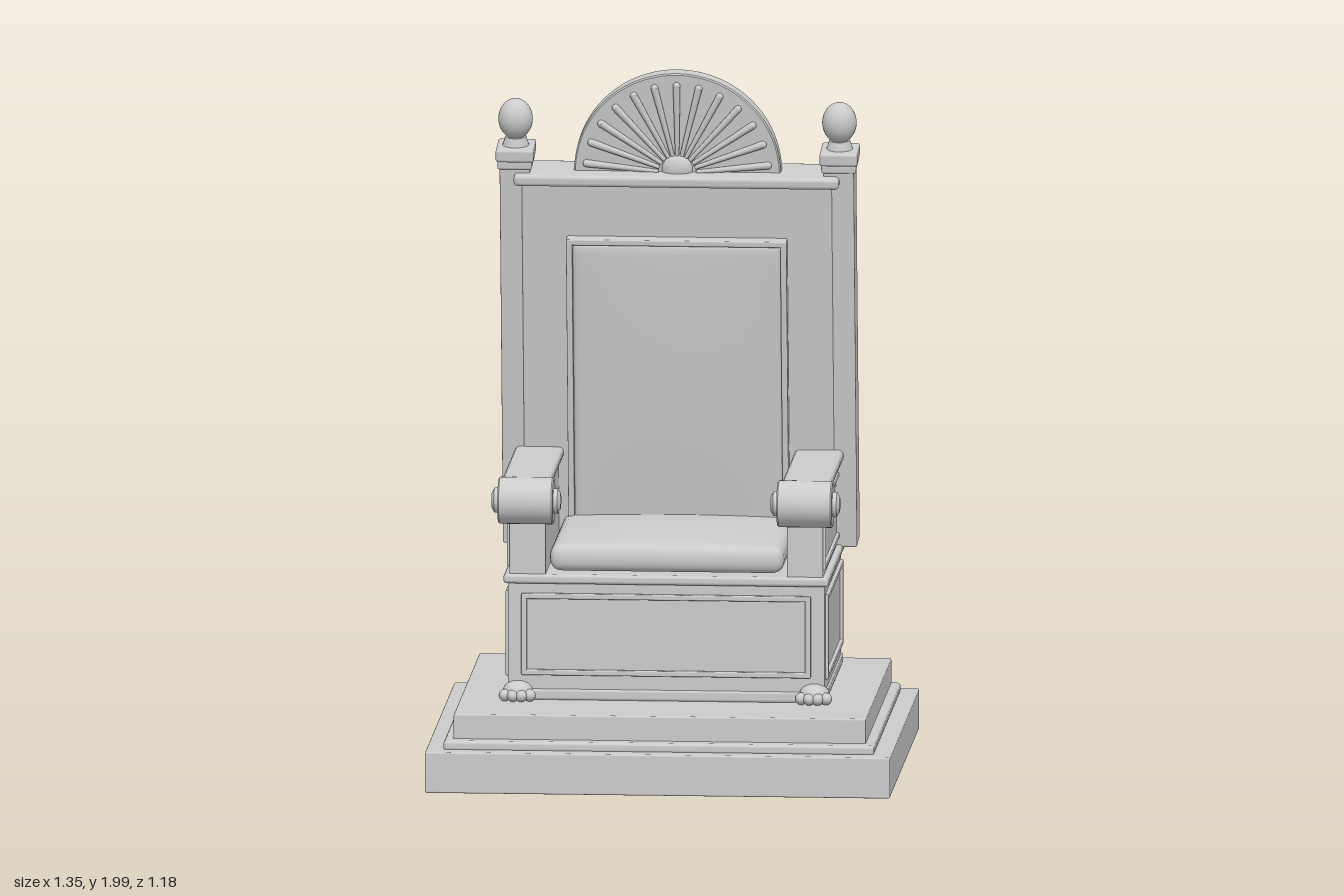
import * as THREE from 'three';
import { RoundedBoxGeometry } from 'three/addons/geometries/RoundedBoxGeometry.js';
import { mergeVertices } from 'three/addons/utils/BufferGeometryUtils.js';

const mat = new THREE.MeshStandardMaterial({ color: 0xcccccc });

function add(parent, name, geometry, x = 0, y = 0, z = 0) {
  const mesh = new THREE.Mesh(geometry, mat);
  mesh.name = name;
  mesh.position.set(x, y, z);
  parent.add(mesh);
  return mesh;
}

// Softly edged block given by its limits on each axis
function block(parent, name, [x0, x1], [y0, y1], [z0, z1], r = 0.005) {
  const geometry = new RoundedBoxGeometry(x1 - x0, y1 - y0, z1 - z0, 2, r);
  return add(parent, name, geometry, (x0 + x1) / 2, (y0 + y1) / 2, (z0 + z1) / 2);
}

// Rectangular moulding in the xy plane, centred on its group
function frame(parent, name, w, h, t, d) {
  const g = new THREE.Group();
  g.name = name;
  for (const s of [-1, 1]) {
    block(g, 'frameRail', [-w / 2, w / 2], [s * h / 2 - (s > 0 ? t : 0), s * h / 2 + (s < 0 ? t : 0)], [-d / 2, d / 2], 0.004);
    block(g, 'frameStile', [s * w / 2 - (s > 0 ? t : 0), s * w / 2 + (s < 0 ? t : 0)], [-h / 2, h / 2], [-d / 2, d / 2], 0.004);
  }
  parent.add(g);
  return g;
}

// Padded cushion: rounded box whose +z face swells by the crown
function cushionGeometry(w, h, d, r, crown) {
  let geo = new THREE.BoxGeometry(2, 2, 2, 24, 24, 8);
  geo.deleteAttribute('uv');
  geo.deleteAttribute('normal');
  geo = mergeVertices(geo);
  const half = new THREE.Vector3(w / 2, h / 2, d / 2);
  const inner = half.clone().subScalar(r);
  const p = new THREE.Vector3(), c = new THREE.Vector3();
  const pos = geo.attributes.position;
  for (let i = 0; i < pos.count; i++) {
    p.fromBufferAttribute(pos, i);
    // crowd the grid towards the edges
    p.set(...p.toArray().map(v => Math.sin(v * Math.PI / 2))).multiply(half);
    c.copy(p).clamp(inner.clone().negate(), inner);
    p.sub(c).normalize().multiplyScalar(r).add(c);
    const swell = (1 - (p.x / half.x) ** 2) * (1 - (p.y / half.y) ** 2);
    if (p.z > 0) p.z += crown * Math.max(0, swell);
    pos.setXYZ(i, p.x, p.y, p.z);
  }
  geo.computeVertexNormals();
  return geo;
}

function buildPlinth(g) {
  block(g, 'plinthBase', [-0.675, 0.675], [0, 0.12], [-0.59, 0.59]);
  block(g, 'plinthMoulding', [-0.625, 0.625], [0.115, 0.145], [-0.542, 0.54], 0.01);
  block(g, 'plinthStep', [-0.598, 0.598], [0.14, 0.217], [-0.535, 0.497]);
}

function buildSeat(g) {
  block(g, 'seatBox', [-0.46, 0.46], [0.215, 0.57], [-0.435, 0.235]);
  block(g, 'seatFootMoulding', [-0.465, 0.465], [0.215, 0.25], [-0.447, 0.24], 0.01);
  block(g, 'seatTopMoulding', [-0.472, 0.472], [0.558, 0.586], [-0.447, 0.247], 0.01);
  frame(g, 'frontPanelFrame', 0.84, 0.24, 0.016, 0.024).position.set(0, 0.41, 0.235);
  const cushion = add(g, 'seatCushion', cushionGeometry(0.68, 0.56, 0.08, 0.035, 0.02), 0, 0.63, -0.05);
  cushion.rotation.x = -Math.PI / 2;

  for (const s of [-1, 1]) {
    const side = frame(g, 'sidePanelFrame', 0.6, 0.25, 0.018, 0.018);
    side.position.set(s * 0.46, 0.405, -0.1);
    side.rotation.y = Math.PI / 2;

    // Paw foot with four toes
    const paw = new THREE.Group();
    paw.name = 'pawFoot';
    paw.position.set(s * 0.43, 0.217, 0.23);
    g.add(paw);
    add(paw, 'pawPad', new THREE.SphereGeometry(1, 20, 12), 0, 0.026, 0).scale.set(0.044, 0.03, 0.055);
    for (let i = 0; i < 4; i++) {
      const u = i - 1.5;
      add(paw, 'toe', new THREE.SphereGeometry(0.018, 14, 10), u * 0.024, 0.017, 0.045 - u * u * 0.005).scale.z = 1.2;
    }
  }
}

function buildArm(g, s) {
  const arm = new THREE.Group();
  arm.name = s > 0 ? 'leftArm' : 'rightArm';
  g.add(arm);
  const span = (a, b) => s > 0 ? [a, b] : [-b, -a];
  block(arm, 'armPanel', span(0.35, 0.455), [0.58, 0.845], [-0.43, 0.235]);
  block(arm, 'armRail', span(0.335, 0.477), [0.835, 0.87], [-0.445, 0.245], 0.014);
  const side = frame(arm, 'armPanelFrame', 0.63, 0.2, 0.018, 0.016);
  side.position.set(s * 0.455, 0.705, -0.09);
  side.rotation.y = Math.PI / 2;

  // Scroll with a stepped boss on each end
  const profile = [[0, -0.1], [0.022, -0.1], [0.036, -0.092], [0.036, -0.08], [0.064, -0.08], [0.068, -0.076],
    [0.068, 0.076], [0.064, 0.08], [0.036, 0.08], [0.036, 0.092], [0.022, 0.1], [0, 0.1]];
  // repeated corners keep the edges crisp
  const points = profile.flatMap(([r, y]) => [new THREE.Vector2(r, y), new THREE.Vector2(r, y)]);
  const scroll = add(arm, 'armScroll', new THREE.LatheGeometry(points, 36), s * 0.405, 0.803, 0.245);
  scroll.rotation.z = Math.PI / 2;
}

function buildCrest(back) {
  const crest = new THREE.Group();
  crest.name = 'crest';
  crest.position.set(0, 1.115, 0);
  back.add(crest);
  const half = new THREE.Shape();
  half.absarc(0, 0, 0.296, 0, Math.PI);
  half.closePath();
  const disc = new THREE.ExtrudeGeometry(half, {
    depth: 0.042, curveSegments: 40, bevelThickness: 0.004, bevelSize: 0.004, bevelSegments: 1,
  });
  add(crest, 'crestDisc', disc, 0, 0, -0.024);

  // Fan of tapered rays around a hub
  for (let i = 0; i < 13; i++) {
    const a = THREE.MathUtils.degToRad(6 + 14 * i);
    const ray = add(crest, 'ray', new THREE.CylinderGeometry(0.011, 0.006, 0.21, 10),
      Math.cos(a) * 0.16, Math.sin(a) * 0.16, 0.026);
    ray.rotation.z = a - Math.PI / 2;
    add(crest, 'rayTip', new THREE.SphereGeometry(0.011, 10, 8), Math.cos(a) * 0.265, Math.sin(a) * 0.265, 0.026);
  }
  add(crest, 'hub', new THREE.SphereGeometry(0.045, 24, 16), 0, 0.012, 0.02).scale.z = 0.6;
}

function buildBack(g) {
  const back = new THREE.Group();
  back.name = 'back';
  back.position.set(0, 0.585, -0.372);
  back.rotation.x = 0.12;
  g.add(back);

  block(back, 'backPanel', [-0.45, 0.45], [0, 1.1], [-0.05, 0.058]);
  block(back, 'topRail', [-0.472, 0.472], [1.086, 1.12], [-0.083, 0.083], 0.012);
  frame(back, 'rearPanelFrame', 0.82, 1.03, 0.022, 0.03).position.set(0, 0.555, -0.05);
  frame(back, 'backCushionFrame', 0.64, 0.92, 0.018, 0.044).position.set(0, 0.473, 0.076);
  add(back, 'backCushion', cushionGeometry(0.606, 0.89, 0.04, 0.019, 0.014), 0, 0.475, 0.072);

  for (const s of [-1, 1]) {
    const x = s * 0.47;
    block(back, 'backPost', [x - 0.044, x + 0.044], [0, 1.15], [-0.056, 0.054]);
    block(back, 'postCollar', [x - 0.05, x + 0.05], [1.13, 1.155], [-0.06, 0.06], 0.006);
    block(back, 'postCap', [x - 0.055, x + 0.055], [1.152, 1.19], [-0.063, 0.063], 0.008);
    add(back, 'finialNeck', new THREE.CylinderGeometry(0.03, 0.04, 0.03, 24), x, 1.2, 0);
    add(back, 'finialBall', new THREE.SphereGeometry(0.05, 28, 20), x, 1.268, 0).scale.y = 1.2;
  }
  buildCrest(back);
}

export function createModel() {
  const model = new THREE.Group();
  model.name = 'throne';
  buildPlinth(model);
  buildSeat(model);
  for (const s of [-1, 1]) buildArm(model, s);
  buildBack(model);
  return model;
}
